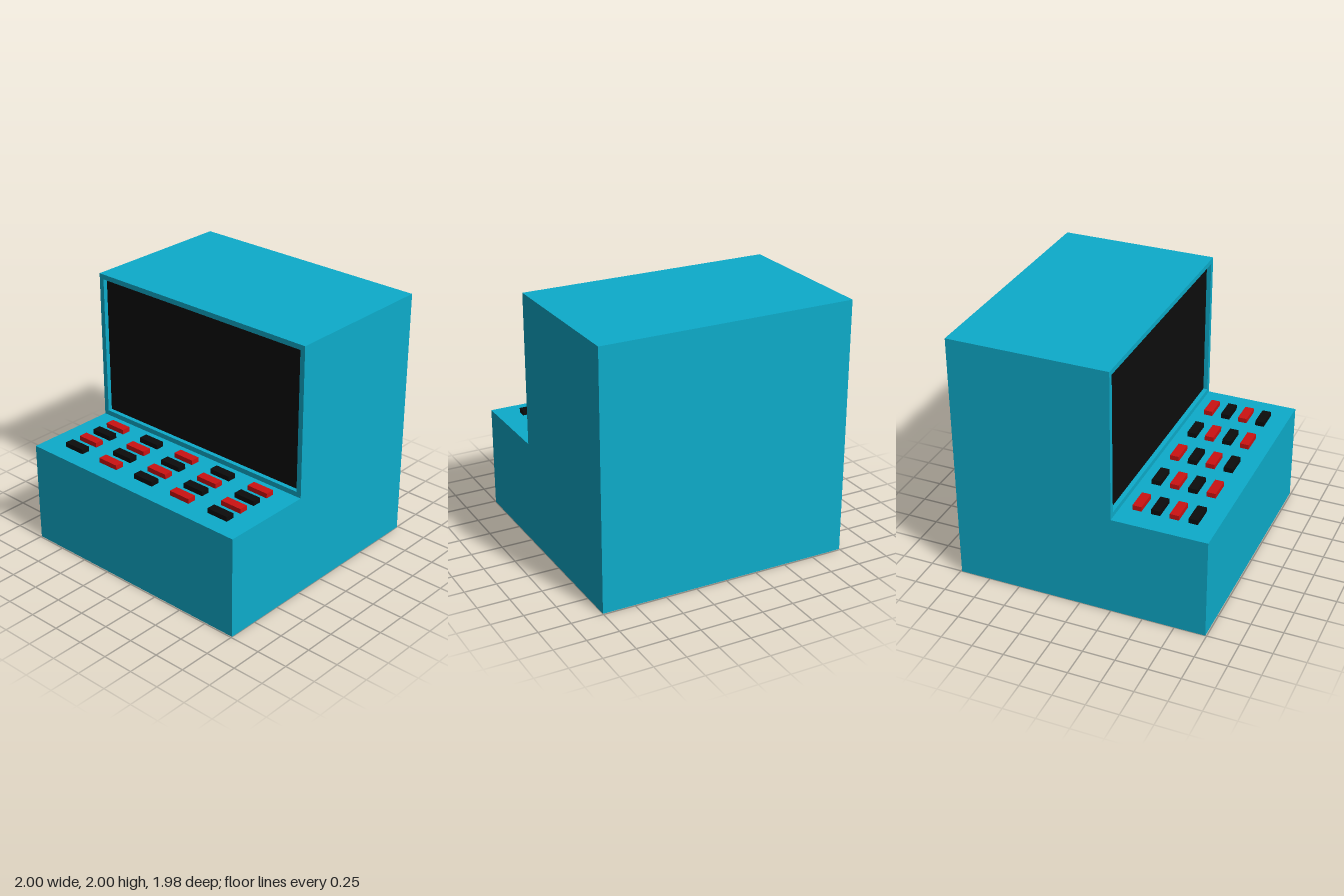
import * as THREE from 'three';

const W = 2, FRONT = 0.99, BACK = -0.99, DECK = 0.808, TOP = 2;
const STEP = 0.255, RECESS = 0.04;

const paint = (color) => new THREE.MeshStandardMaterial({ color });

function addMesh(parent, name, geometry, material, x = 0, y = 0, z = 0) {
  const mesh = new THREE.Mesh(geometry, material);
  mesh.name = name;
  mesh.position.set(x, y, z);
  parent.add(mesh);
  return mesh;
}

export function createModel() {
  const model = new THREE.Group();
  model.name = 'arcadeConsole';
  const blue = paint(0x0daccb), black = paint(0x0c0c0c), red = paint(0xcc1212);

  // L-shaped cabinet: side profile (-z, y) extruded across the width
  const wall = STEP - RECESS;
  const profile = new THREE.Shape([
    [-FRONT, 0], [-BACK, 0], [-BACK, TOP], [-wall, TOP], [-wall, DECK], [-FRONT, DECK],
  ].map(([a, b]) => new THREE.Vector2(a, b)));
  const body = new THREE.ExtrudeGeometry(profile, { depth: W, bevelEnabled: false });
  body.translate(0, 0, -W / 2).rotateY(Math.PI / 2);
  addMesh(model, 'cabinet', body, blue);

  // Raised bezel around the recessed screen
  const rect = (Type, x, y0, y1) => new Type([
    new THREE.Vector2(-x, y0), new THREE.Vector2(x, y0),
    new THREE.Vector2(x, y1), new THREE.Vector2(-x, y1),
  ]);
  const bezel = rect(THREE.Shape, W / 2, DECK, TOP);
  bezel.holes.push(rect(THREE.Path, 0.96, 0.848, 1.96));
  addMesh(model, 'screenBezel',
    new THREE.ExtrudeGeometry(bezel, { depth: RECESS, bevelEnabled: false }),
    blue, 0, 0, wall);

  // Screen set at the back of the recess
  addMesh(model, 'screen', new THREE.BoxGeometry(1.92, 1.112, 0.01), black, 0, 1.404, wall);

  // Four rows of five keys in alternating colours
  const keys = new THREE.Group();
  keys.name = 'keys';
  model.add(keys);
  const key = new THREE.BoxGeometry(0.18, 0.038, 0.07);
  for (let row = 0; row < 4; row++) {
    for (let col = 0; col < 5; col++) {
      addMesh(keys, `key${row + 1}_${col + 1}`, key, (row + col) % 2 ? black : red,
        (col - 2) * 0.364, DECK + 0.019, 0.38 + row * 0.143);
    }
  }
  return model;
}
